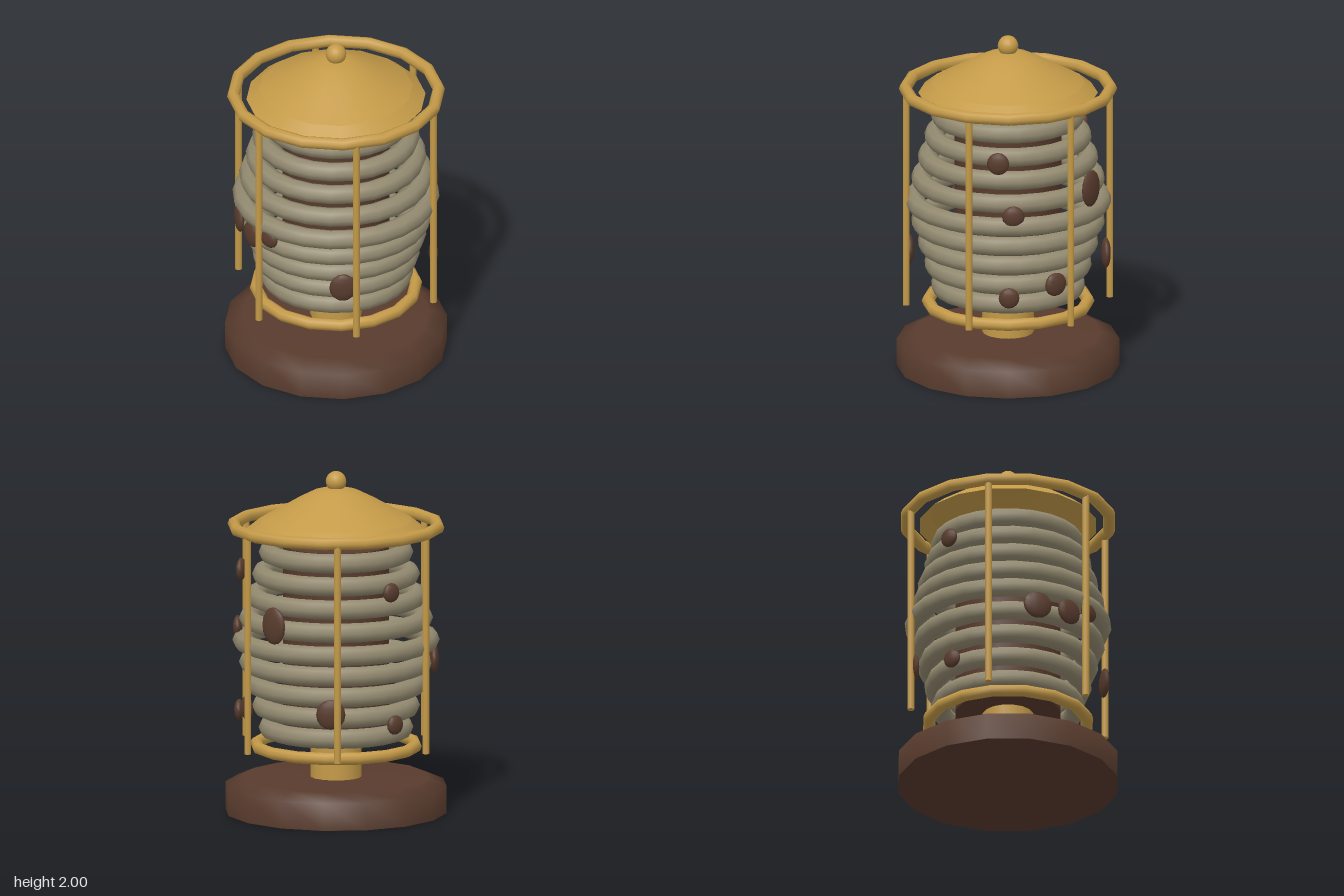
import * as THREE from 'three';

const material = (name, color, side = THREE.FrontSide) => {
  const m = new THREE.MeshStandardMaterial({ color, side });
  m.name = name;
  return m;
};

export function createModel() {
  const gold = material('gold', 0xc49a48, THREE.DoubleSide);
  const ribGrey = material('rib grey', 0x938a70);
  const brown = material('dark brown', 0x583b2d);
  const group = new THREE.Group();

  const add = (name, geometry, mat, x = 0, y = 0, z = 0) => {
    const mesh = new THREE.Mesh(geometry, mat);
    mesh.name = name;
    mesh.position.set(x, y, z);
    group.add(mesh);
    return mesh;
  };
  const lathe = (points) =>
    new THREE.LatheGeometry(points.map(([r, y]) => new THREE.Vector2(r, y)), 16);
  // horizontal ring given by its outer radius
  const ring = (outer, tube, segments) =>
    new THREE.TorusGeometry(outer - tube, tube, 8, segments).rotateX(Math.PI / 2);

  // Stand
  add('base', lathe([[0, 0], [0.645, 0], [0.645, 0.001], [0.645, 0.16], [0.54, 0.205], [0, 0.206]]), brown);
  add('pedestal', new THREE.CylinderGeometry(0.15, 0.15, 0.25, 16), gold, 0, 0.32);
  add('lowerRing', ring(0.5, 0.036, 16), gold, 0, 0.39);

  // Ribbed barrel around a solid core
  add('core', new THREE.CylinderGeometry(0.31, 0.31, 1.12, 16), brown, 0, 1.01);
  for (let i = -4; i <= 4; i++) {
    add('rib', ring(0.6 - 0.038 * Math.abs(i), 0.057, 24), ribGrey, 0, 1.01 + i * 0.129);
  }

  // Cage posts and top hoop
  for (let i = 0; i < 6; i++) {
    const a = (i * Math.PI) / 3;
    add('post', new THREE.CylinderGeometry(0.021, 0.021, 1.29, 8), gold,
      0.595 * Math.cos(a), 1.035, 0.595 * Math.sin(a));
  }
  add('upperRing', ring(0.632, 0.036, 16), gold, 0, 1.68);

  // Roof with a turned-down eave, and finial
  add('roof', lathe([[0.445, 1.715], [0.34, 1.772], [0.23, 1.835], [0.13, 1.885], [0.07, 1.9], [0, 1.905]]), gold);
  add('eave', lathe([[0.52, 1.655], [0.445, 1.715]]), gold);
  add('finial', new THREE.SphereGeometry(0.06, 16, 12), gold, 0, 1.94);

  // Flattened spots facing outward: x, y, z, half width, half height
  const spots = [
    [0.54, 1.4, -0.16, 0.065, 0.067], [0.515, 1.08, -0.245, 0.065, 0.065],
    [0.52, 0.585, -0.22, 0.06, 0.062], [0.345, 0.645, -0.44, 0.07, 0.07],
    [0.1, 1.17, -0.56, 0.085, 0.11], [-0.25, 0.67, -0.51, 0.085, 0.088],
    [-0.505, 1.37, -0.25, 0.055, 0.057], [-0.52, 0.59, -0.23, 0.055, 0.057],
    [-0.5, 0.9, 0.27, 0.085, 0.085], [-0.37, 0.9, 0.43, 0.08, 0.078],
    [-0.235, 0.945, 0.52, 0.065, 0.055], [0.22, 0.705, 0.525, 0.08, 0.087],
  ];
  for (const [x, y, z, w, h] of spots) {
    const spot = add('spot', new THREE.SphereGeometry(1, 12, 8), brown, x, y, z);
    spot.scale.set(w, h, 0.028);
    spot.rotation.y = Math.atan2(x, z);
  }

  return group;
}
